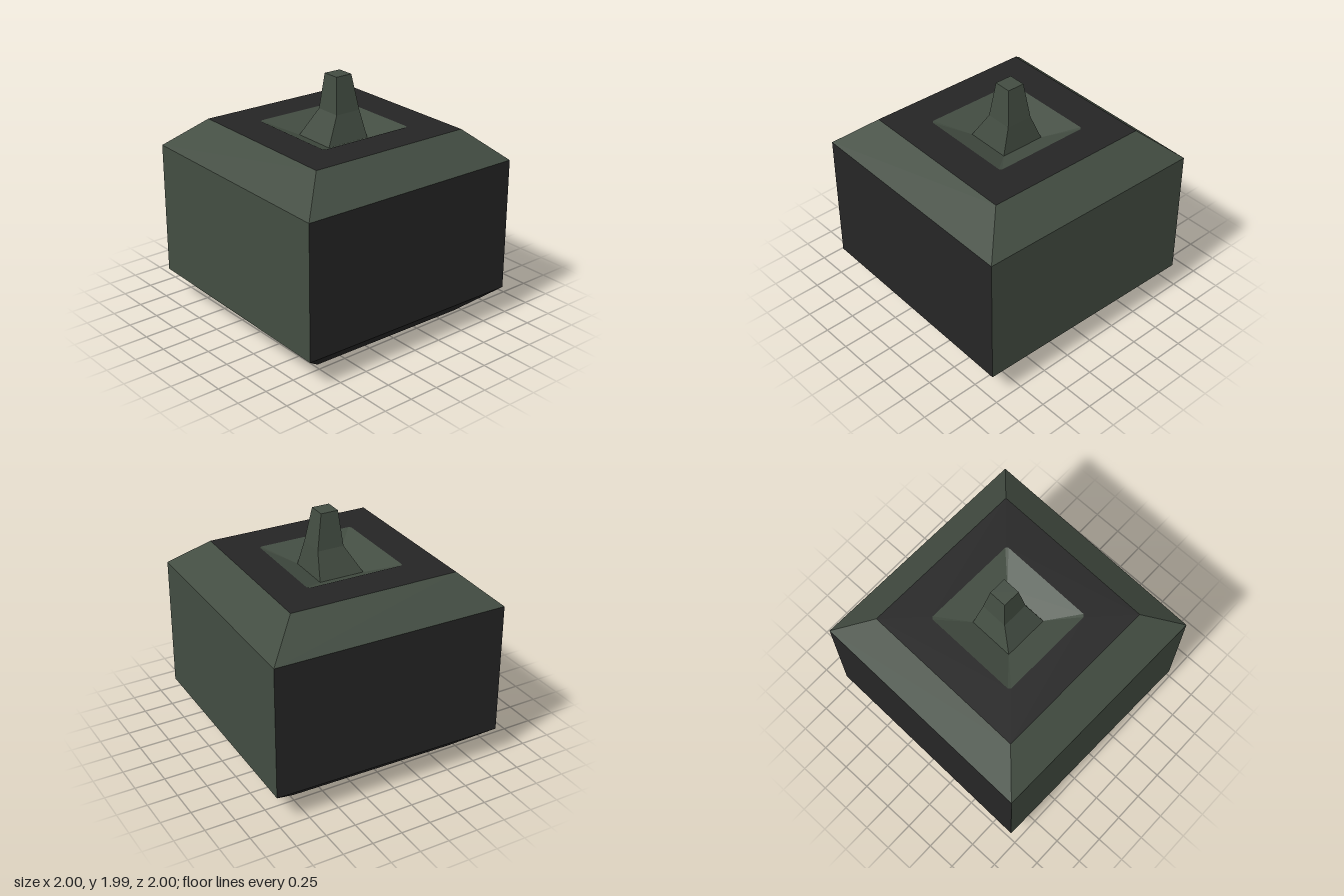
import * as THREE from 'three';

const green = new THREE.MeshStandardMaterial({ color: 0x434d42, side: THREE.DoubleSide });
green.name = 'mossGreen';
const dark = new THREE.MeshStandardMaterial({ color: 0x252525, side: THREE.DoubleSide });
dark.name = 'charcoal';

// Square cross-section, two points per corner; cut trims the corners.
// Sides run +x, -z, -x, +z.
function ring(half, y, cut = 0, cx = 0, cz = 0) {
  const points = [];
  for (const [sx, sz] of [[1, 1], [1, -1], [-1, -1], [-1, 1]]) {
    const alongX = new THREE.Vector3(cx + sx * (half - cut), y, cz + sz * half);
    const alongZ = new THREE.Vector3(cx + sx * half, y, cz + sz * (half - cut));
    points.push(...(sx === sz ? [alongX, alongZ] : [alongZ, alongX]));
  }
  return points;
}

// Flat mesh from a list of convex faces, leaving out collapsed triangles.
function facesMesh(name, material, faces) {
  const points = [];
  const triangle = new THREE.Triangle();
  for (const face of faces) {
    for (let i = 1; i < face.length - 1; i++) {
      triangle.set(face[0], face[i], face[i + 1]);
      if (triangle.getArea() > 1e-7) points.push(face[0], face[i], face[i + 1]);
    }
  }
  const geometry = new THREE.BufferGeometry().setFromPoints(points);
  geometry.computeVertexNormals();
  const mesh = new THREE.Mesh(geometry, material);
  mesh.name = name;
  return mesh;
}

// Quads joining two cross-sections, optionally on chosen sides only.
function band(a, b, sides = [0, 1, 2, 3]) {
  const faces = [];
  for (let i = 0; i < 8; i++) {
    const j = (i + 1) % 8;
    const isCorner = i % 2 === 0;
    if (isCorner || sides.includes((i - 1) / 2)) faces.push([a[i], a[j], b[j], b[i]]);
  }
  return faces;
}

export function createModel() {
  const model = new THREE.Group();
  model.name = 'bevelledBlock';

  // Hollow body, open underneath
  const foot = ring(0.705, 0);
  const wallBottom = ring(0.978, 0.24);
  const wallTop = ring(0.978, 1.345);
  const shoulder = ring(0.705, 1.585);
  const recessRim = ring(0.413, 1.585, 0.018);
  const recessFloor = ring(0.19, 1.483);
  model.add(
    facesMesh('lowerBevel', dark, band(foot, wallBottom)),
    facesMesh('sideWalls', dark, band(wallBottom, wallTop, [0, 2])),
    facesMesh('frontAndBackWalls', green, band(wallBottom, wallTop, [1, 3])),
    facesMesh('upperBevel', green, band(wallTop, shoulder)),
    facesMesh('topPanel', dark, band(shoulder, recessRim)),
    facesMesh('recess', green, band(recessRim, recessFloor)),
  );

  // Flared, slightly leaning stem rising from the recess
  const stemMiddle = ring(0.112, 1.7, 0, 0.01, -0.05);
  const stemTop = ring(0.073, 1.99, 0, 0.005, -0.042);
  model.add(facesMesh('stem', green, [
    ...band(recessFloor, stemMiddle),
    ...band(stemMiddle, stemTop),
    stemTop.filter((_, i) => i % 2 === 0),
  ]));

  // The whole block sits slightly turned
  model.rotation.y = -0.0222;
  return model;
}
